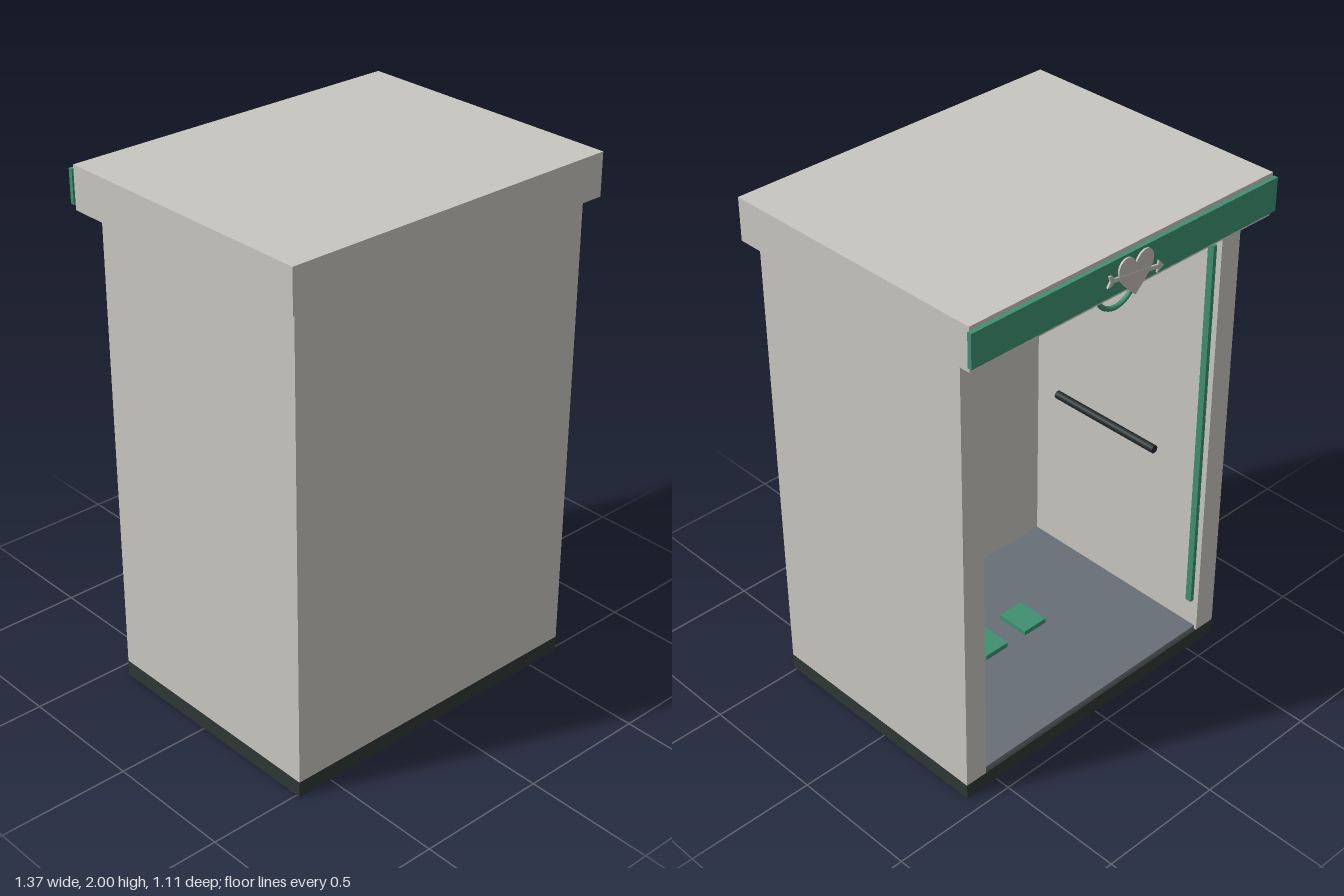
import * as THREE from 'three';

const mat = (name, color) => {
  const m = new THREE.MeshStandardMaterial({ color });
  m.name = name;
  return m;
};

export function createModel() {
  const wall = mat('warm grey', 0xc8c6c0);
  const emblemGrey = mat('emblem grey', 0xc4bdb9);
  const green = mat('green', 0x3f9070);
  const dark = mat('dark base', 0x2e3835);
  const black = mat('black trim', 0x20282a);
  const floorGrey = mat('slate floor', 0x676f77);

  const model = new THREE.Group();
  model.name = 'booth';

  const add = (name, geometry, material, x = 0, y = 0, z = 0, parent = model) => {
    const mesh = new THREE.Mesh(geometry, material);
    mesh.name = name;
    mesh.position.set(x, y, z);
    parent.add(mesh);
    return mesh;
  };
  // box given by its limits on each axis
  const box = (name, material, [x0, x1], [y0, y1], [z0, z1], parent) =>
    add(name, new THREE.BoxGeometry(x1 - x0, y1 - y0, z1 - z0), material,
      (x0 + x1) / 2, (y0 + y1) / 2, (z0 + z1) / 2, parent);

  // shell, open at the back
  box('base', dark, [-0.64, 0.64], [0, 0.062], [-0.44, 0.515]);
  box('floor', floorGrey, [-0.55, 0.55], [0.062, 0.078], [-0.43, 0.42]);
  box('frontWall', wall, [-0.55, 0.55], [0.062, 1.84], [0.42, 0.515]);
  box('roof', wall, [-0.68, 0.68], [1.84, 2], [-0.526, 0.555]);
  box('signBoard', green, [-0.687, 0.687], [1.86, 1.985], [-0.542, -0.526]);

  // mirrored side parts
  for (const s of [1, -1]) {
    const side = s > 0 ? 'left' : 'right';
    add(side + 'Wall', new THREE.BoxGeometry(0.09, 1.778, 0.955), wall, s * 0.595, 0.951, 0.0375);
    add(side + 'LightStrip', new THREE.BoxGeometry(0.016, 1.54, 0.026), green, s * 0.542, 0.965, -0.405);
    const rail = add(side + 'HandRail', new THREE.CylinderGeometry(0.016, 0.016, 0.5, 16), black, s * 0.534, 0.79, 0.05);
    rail.rotation.x = Math.PI / 2;
    add(side + 'FootPad', new THREE.BoxGeometry(0.11, 0.02, 0.135), green, s * 0.1, 0.088, 0.042);
  }

  // picture frame on the inside of the front wall
  const frame = new THREE.Group();
  frame.name = 'wallFrame';
  model.add(frame);
  for (const s of [1, -1]) {
    add('frameUpright', new THREE.BoxGeometry(0.025, 0.45, 0.025), black, s * 0.27, 1.315, 0.408, frame);
    add('frameRail', new THREE.BoxGeometry(0.515, 0.025, 0.025), black, 0, 1.315 + s * 0.2125, 0.408, frame);
  }

  // ring hanging half below the roof overhang
  const ring = add('hangingRing', new THREE.TorusGeometry(0.09, 0.009, 10, 32, Math.PI), green, 0, 1.842, -0.472);
  ring.rotation.z = Math.PI;

  // heart and arrow emblem on the sign
  const emblem = new THREE.Group();
  emblem.name = 'emblem';
  emblem.position.set(0, 1.91, -0.556);
  model.add(emblem);
  const plate = (shape) => new THREE.ExtrudeGeometry(shape, { depth: 0.007, bevelEnabled: false, curveSegments: 12 });
  const heart = new THREE.Shape();
  heart.moveTo(0, -0.075);
  heart.bezierCurveTo(0.035, -0.04, 0.078, -0.01, 0.078, 0.03);
  heart.bezierCurveTo(0.078, 0.082, 0.018, 0.085, 0, 0.04);
  heart.bezierCurveTo(-0.018, 0.085, -0.078, 0.082, -0.078, 0.03);
  heart.bezierCurveTo(-0.078, -0.01, -0.035, -0.04, 0, -0.075);
  add('heart', plate(heart), emblemGrey, 0, 0, 0, emblem);
  const arrow = new THREE.Shape([
    [-0.128, 0], [-0.1, -0.022], [-0.1, -0.007], [0.1, -0.007], [0.115, -0.02], [0.128, -0.02],
    [0.118, 0], [0.128, 0.02], [0.115, 0.02], [0.1, 0.007], [-0.1, 0.007], [-0.1, 0.022],
  ].map(([x, y]) => new THREE.Vector2(x, y)));
  add('arrow', plate(arrow), emblemGrey, 0, 0, -0.001, emblem).rotation.z = 0.15;
  const pin = add('emblemPin', new THREE.CylinderGeometry(0.012, 0.012, 0.012, 12), emblemGrey, 0, 0, 0.01, emblem);
  pin.rotation.x = Math.PI / 2;

  return model;
}
